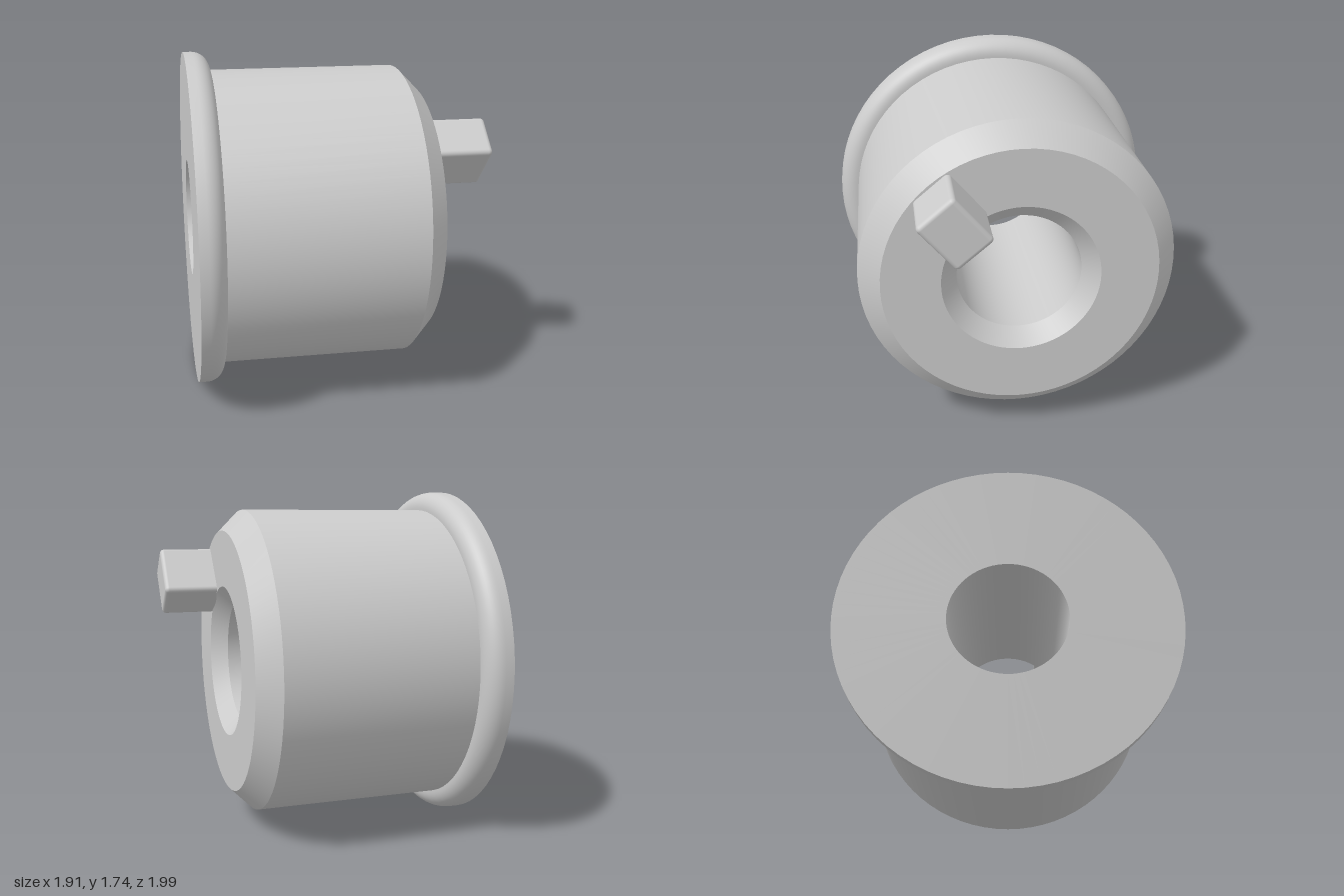
import * as THREE from 'three';
import { toCreasedNormals } from 'three/addons/utils/BufferGeometryUtils.js';
import { RoundedBoxGeometry } from 'three/addons/geometries/RoundedBoxGeometry.js';

const material = new THREE.MeshStandardMaterial({ color: 0xcccccc });

const FLANGE_R = 0.87, FLANGE_T = 0.13, FILLET = 0.085;
const BODY_R = 0.775, FACE_R = 0.67, BORE_R = 0.305, BORE_RIM_R = 0.385;
const LENGTH = 1.205;

// Turned part: profile of [radius, distance along z], sharp edges kept
function turned(name, profile) {
  const points = profile.map(([r, z]) => new THREE.Vector2(r, z));
  const geometry = new THREE.LatheGeometry(points, 72).rotateX(Math.PI / 2);
  const mesh = new THREE.Mesh(toCreasedNormals(geometry, 0.5), material);
  mesh.name = name;
  return mesh;
}

export function createModel() {
  const group = new THREE.Group();
  group.name = 'flangedBushing';

  // Flange: flat back, rounded front rim
  const rim = [];
  for (let i = 0; i <= 10; i++) {
    const a = (i / 10) * Math.PI / 2;
    rim.push([FLANGE_R - FILLET + FILLET * Math.cos(a), FLANGE_T - FILLET + FILLET * Math.sin(a)]);
  }
  group.add(turned('flange', [[BORE_R, 0], [FLANGE_R, 0], ...rim, [BODY_R, FLANGE_T]]));

  // Barrel with chamfered front edge and countersunk through bore
  group.add(turned('barrel', [
    [BODY_R, FLANGE_T],
    [BODY_R, LENGTH - (BODY_R - FACE_R)],
    [FACE_R, LENGTH],
    [BORE_RIM_R, LENGTH],
    [BORE_R, LENGTH - (BORE_RIM_R - BORE_R)],
    [BORE_R, 0],
  ]));

  // Drive key standing on the front face, its long side radial
  const keyAngle = THREE.MathUtils.degToRad(40), keyRadius = 0.517;
  const keyDepth = 0.3, keyOut = 0.27;
  const key = new THREE.Mesh(new RoundedBoxGeometry(0.22, 0.28, keyDepth, 3, 0.022), material);
  key.name = 'driveKey';
  key.position.set(
    -keyRadius * Math.sin(keyAngle),
    keyRadius * Math.cos(keyAngle),
    LENGTH + keyOut - keyDepth / 2
  );
  key.rotation.z = keyAngle;
  group.add(key);

  // Turn the axis towards the front left and stand the flange on the ground
  group.rotation.y = THREE.MathUtils.degToRad(50);
  group.position.set(-0.403, FLANGE_R, -0.332);

  const model = new THREE.Group();
  model.name = 'model';
  model.add(group);
  return model;
}
